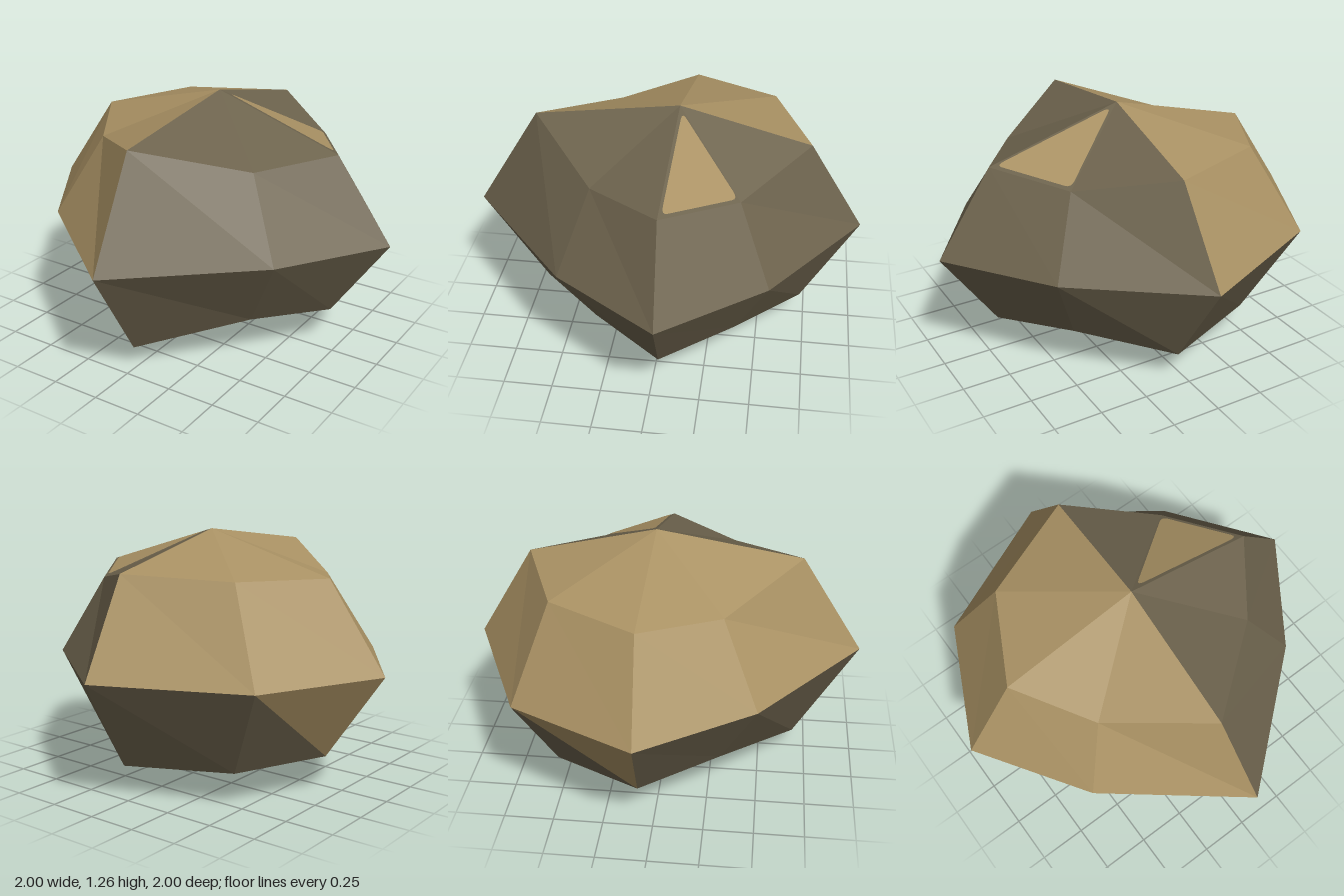
import * as THREE from 'three';

// Rings of [x, z], starting at -x and turning through the front (+z)
const EQUATOR = [[-1, -0.06], [-0.63, 0.49], [0.02, 1], [0.65, 0.46], [1, -0.06], [0.62, -0.56], [0.02, -1], [-0.7, -0.68]];
// Shoulder ring as [x, height above the equator, z], mirrored below it
const SHOULDER = [[-0.7, 0.44, -0.08], [-0.45, 0.4, 0.31], [-0.01, 0.52, 0.68], [0.45, 0.39, 0.32],
  [0.71, 0.42, -0.04], [0.46, 0.38, -0.4], [0.05, 0.47, -0.72], [-0.47, 0.455, -0.52]];
const MID = 0.63;

export function createModel() {
  const group = new THREE.Group();
  group.name = 'rock';
  const tan = new THREE.MeshStandardMaterial({ color: 0xaa9264, flatShading: true });
  tan.name = 'tan stone';
  const grey = new THREE.MeshStandardMaterial({ color: 0x6d634d, flatShading: true });
  grey.name = 'grey brown stone';

  const top = [0.02, 2 * MID, -0.06], bottom = [0.02, 0, -0.06];
  const upper = SHOULDER.map(([x, h, z]) => [x, MID + h, z]);
  const middle = EQUATOR.map(([x, z]) => [x, MID, z]);
  const lower = SHOULDER.map(([x, h, z]) => [x, MID - h, z]);

  // Sort the facets by colour: the upper -x half is tan, the rest grey
  const facets = { tan: [], grey: [] };
  const add = (colour, ...corners) => facets[colour].push(...corners.flat());
  for (let i = 0; i < 8; i++) {
    const j = (i + 1) % 8;
    const side = i < 2 || i > 5 ? 'tan' : 'grey';
    add(side, top, upper[i], upper[j]);
    add(side, upper[j], upper[i], middle[j]);
    add(side, upper[i], middle[i], middle[j]);
    add(i === 7 ? 'tan' : 'grey', middle[j], middle[i], lower[j]);
    add('grey', middle[i], lower[i], lower[j]);
    add('grey', lower[i], bottom, lower[j]);
  }

  const addFacets = (name, points, material) => {
    const geometry = new THREE.BufferGeometry();
    geometry.setAttribute('position', new THREE.Float32BufferAttribute(points, 3));
    geometry.computeVertexNormals();
    const mesh = new THREE.Mesh(geometry, material);
    mesh.name = name;
    group.add(mesh);
  };
  addFacets('tanFacets', facets.tan, tan);
  addFacets('greyFacets', facets.grey, grey);

  // Tan patch with rounded corners, laid on one top facet
  const corners = [[0.06, -0.075], [0.68, -0.055], [0.45, -0.385]].map(([x, z]) => new THREE.Vector2(x, -z));
  const shape = new THREE.Shape();
  corners.forEach((corner, i) => {
    const before = corner.clone().lerp(corners[(i + 2) % 3], 0.08);
    const after = corner.clone().lerp(corners[(i + 1) % 3], 0.08);
    if (i === 0) shape.moveTo(before.x, before.y);
    else shape.lineTo(before.x, before.y);
    shape.quadraticCurveTo(corner.x, corner.y, after.x, after.y);
  });
  shape.closePath();
  const patch = new THREE.ShapeGeometry(shape, 4);
  const plane = new THREE.Plane().setFromCoplanarPoints(
    ...[top, upper[4], upper[5]].map((p) => new THREE.Vector3(...p)));
  const { normal, constant } = plane;
  const position = patch.attributes.position;
  for (let i = 0; i < position.count; i++) {
    const x = position.getX(i), z = -position.getY(i);
    position.setXYZ(i, x, -(normal.x * x + normal.z * z + constant) / normal.y + 0.004, z);
  }
  patch.computeVertexNormals();
  const patchMesh = new THREE.Mesh(patch, tan);
  patchMesh.name = 'tanPatch';
  group.add(patchMesh);

  return group;
}
